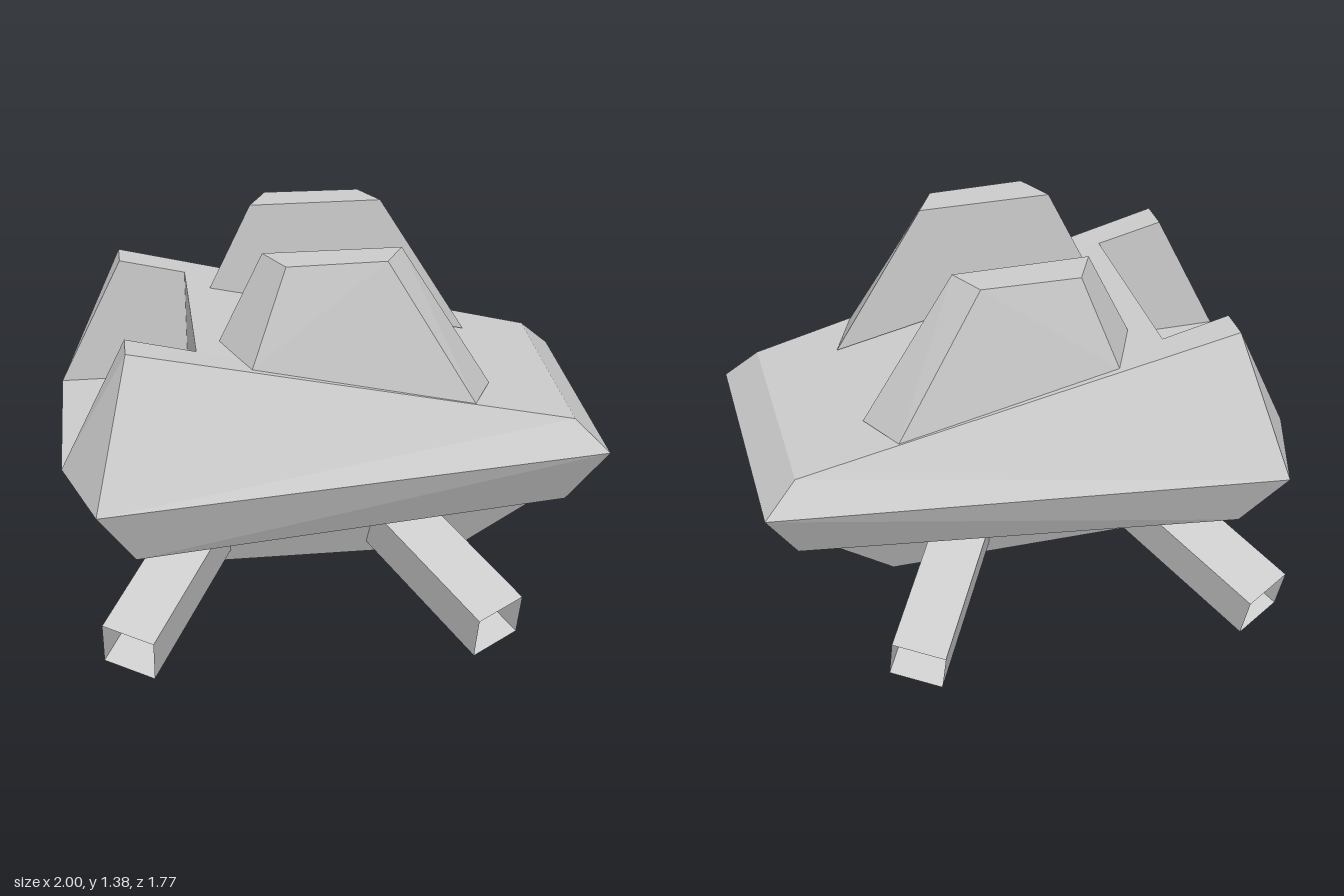
import * as THREE from 'three';
import { ConvexGeometry } from 'three/addons/geometries/ConvexGeometry.js';

const grey = new THREE.MeshStandardMaterial({ color: 0xcccccc, flatShading: true });
const greyOpen = new THREE.MeshStandardMaterial({ color: 0xcccccc, flatShading: true, side: THREE.DoubleSide });

function addMesh(parent, name, geometry, material = grey) {
  const mesh = new THREE.Mesh(geometry, material);
  mesh.name = name;
  parent.add(mesh);
  return mesh;
}

// Convex solid from corners given on the +z side, mirrored over z when asked
function convex(corners, mirror) {
  const pts = corners.map(p => new THREE.Vector3(...p));
  if (mirror) corners.forEach(([x, y, z]) => pts.push(new THREE.Vector3(x, y, -z)));
  return new ConvexGeometry(pts);
}

// Hull: corners of the +z half; lower-case letters are the mirrored corners
function hullGeometry() {
  const corner = {
    A: [-0.88, 0.63, 0.75], B: [1, 0.63, 0.5], C: [-1, 0.63, 0.375],
    D: [-0.75, 1.13, 0.5], E: [0.875, 0.75, 0.44],
    F: [0.875, 0.38, 0.375], G: [-0.75, 0.38, 0.62],
    H: [-0.75, 1.13, 0.375], I: [-0.5, 1.07, 0.375], J: [-0.5, 0.63, 0.375],
  };
  const at = k => {
    const [x, y, z] = corner[k.toUpperCase()];
    return [x, y, k === k.toUpperCase() ? z : -z];
  };
  // Upper side, lower side, rear upper, rear lower, bay wall, deck edge
  const half = ['ABED', 'GFBA', 'CADH', 'GAC', 'JCHI', 'DEIH'];
  // Deck, nose upper, nose lower, belly, rear underside, bay floor, bay end
  const across = ['IEei', 'BbeE', 'FfbB', 'gfFG', 'gGCc', 'CJjc', 'jJIi'];
  const mirrored = half.map(f => [...f.toLowerCase()].reverse().join(''));
  const positions = [];
  for (const f of [...half, ...mirrored, ...across]) {
    // Quads on the mirrored side start at the matching corner so both halves split alike
    const face = mirrored.includes(f) ? f.slice(-1) + f.slice(0, -1) : f;
    for (let i = 1; i < face.length - 1; i++) {
      positions.push(...at(face[0]), ...at(face[i]), ...at(face[i + 1]));
    }
  }
  const g = new THREE.BufferGeometry();
  g.setAttribute('position', new THREE.Float32BufferAttribute(positions, 3));
  g.computeVertexNormals();
  return g;
}

// Square tube leg, open at the foot, sloping down and outward
function legGeometry() {
  const length = 0.75;
  const g = new THREE.CylinderGeometry(0.1414, 0.1414, length, 4, 1, true);
  g.rotateY(Math.PI / 4);
  g.translate(0, -length / 2, 0);
  const axis = new THREE.Vector3(0.487, -0.29, 0.824).normalize();
  const up = new THREE.Vector3(0, 0.943, 0.332);
  const side = new THREE.Vector3().crossVectors(up, axis).normalize();
  up.crossVectors(axis, side);
  g.applyMatrix4(new THREE.Matrix4().makeBasis(side, axis, up));
  g.translate(0.665, 0.1125, 0.805);
  return g;
}

export function createModel() {
  const model = new THREE.Group();
  model.name = 'walker';

  addMesh(model, 'hull', hullGeometry());

  // Tapered keel under the hull
  addMesh(model, 'keel', convex([
    [-0.75, 0.38, 0.375], [0.75, 0.38, 0.375],
    [-0.625, 0.13, 0.25], [0.5, 0.13, 0.25],
  ], true));

  // Pair of fins on the sloping deck
  for (const s of [1, -1]) {
    addMesh(model, s > 0 ? 'frontFin' : 'backFin', convex([
      [-0.25, 1.38, 0.25 * s], [0.25, 1.38, 0.25 * s],
      [-0.18, 1.38, 0.39 * s], [0.18, 1.38, 0.38 * s],
      [-0.41, 1.05, 0.25 * s], [0.59, 0.825, 0.25 * s],
      [-0.31, 1.025, 0.46 * s], [0.5, 0.838, 0.447 * s],
    ], false));
  }

  // Four legs mirrored about the leg centre
  const legs = new THREE.Group();
  legs.name = 'legs';
  legs.position.x = -0.13;
  const leg = legGeometry();
  for (const sx of [1, -1]) {
    for (const sz of [1, -1]) {
      const name = (sz > 0 ? 'front' : 'back') + (sx > 0 ? 'Left' : 'Right') + 'Leg';
      addMesh(legs, name, leg, greyOpen).scale.set(sx, 1, sz);
    }
  }
  model.add(legs);

  // Small stub out of the end of the keel
  addMesh(model, 'stub', new THREE.BoxGeometry(0.3, 0.09, 0.1)).position.set(-0.73, 0.315, -0.135);

  return model;
}
